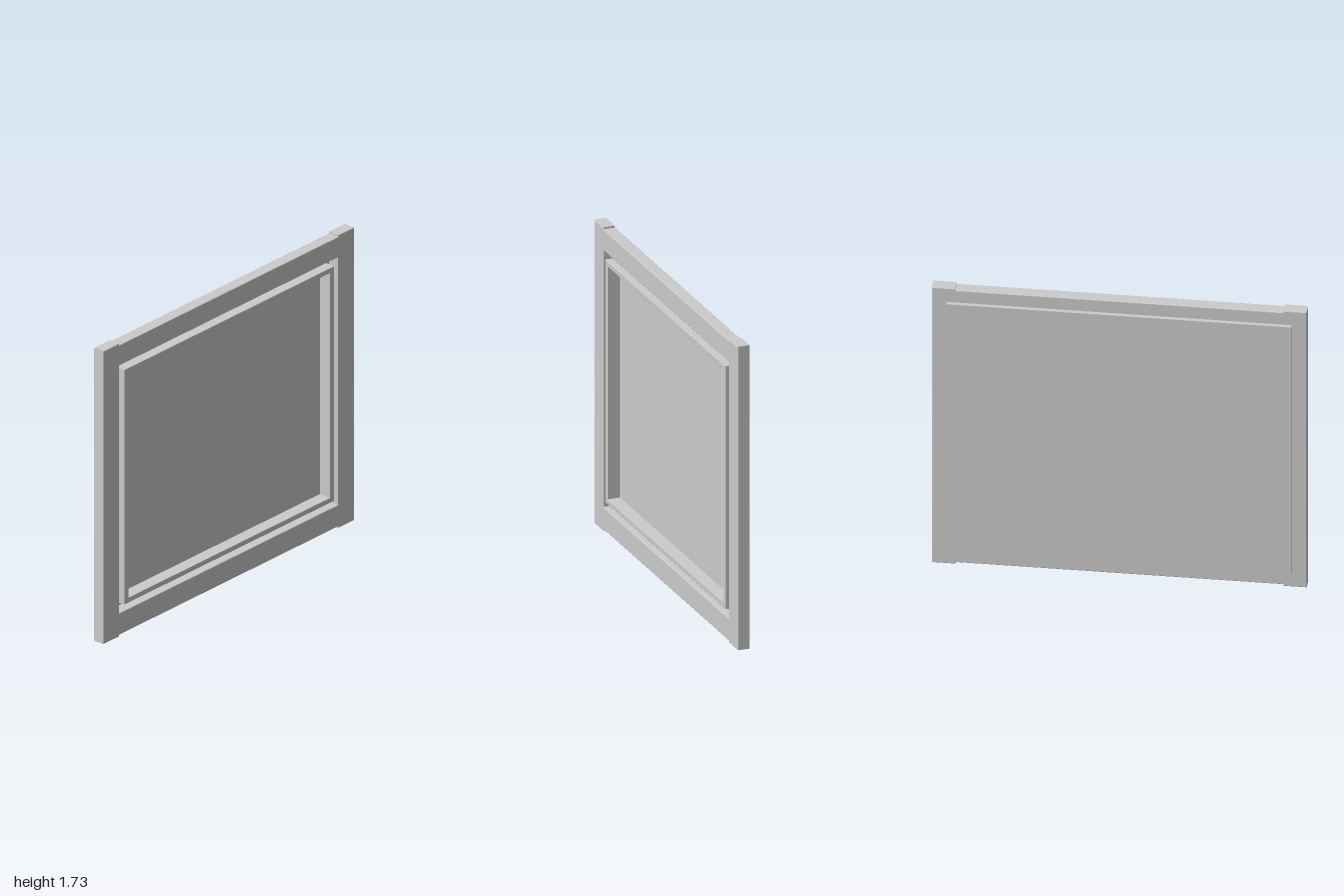
import * as THREE from 'three';

const material = new THREE.MeshStandardMaterial({ color: 0xcccccc, flatShading: true });

const rect = (hw, y0, y1) => [[-hw, y0], [hw, y0], [hw, y1], [-hw, y1]];
const toPoints = (list) => list.map(([x, y]) => new THREE.Vector2(x, y));

// Flat border: an outline with a rectangular opening, eased edges, from z0 to z1
function border(name, outline, opening, z0, z1, bevel) {
  const shape = new THREE.Shape(toPoints(outline));
  shape.holes.push(new THREE.Path(toPoints(opening).reverse()));
  const geometry = new THREE.ExtrudeGeometry(shape, {
    depth: z1 - z0 - 2 * bevel,
    bevelThickness: bevel,
    bevelSize: bevel,
    bevelOffset: -bevel,
    bevelSegments: 2,
  });
  geometry.translate(0, 0, z0 + bevel);
  const mesh = new THREE.Mesh(geometry, material);
  mesh.name = name;
  return mesh;
}

export function createModel() {
  const group = new THREE.Group();
  group.name = 'framedPanel';

  // Outer frame: the side stiles stand slightly proud of the rails at both ends
  const step = 0.875, top = 1.725, railTop = 1.715, railBottom = 0.01;
  const outline = [
    [-1, 0], [-step, 0], [-step, railBottom], [step, railBottom], [step, 0], [1, 0],
    [1, top], [step, top], [step, railTop], [-step, railTop], [-step, top], [-1, top],
  ];
  group.add(border('frame', outline, rect(0.873, 0.137, 1.595), -0.024, 0.045, 0.004));

  // Inner moulding, set in from the frame by a narrow recess
  group.add(border('innerMoulding', rect(0.838, 0.175, 1.557), rect(0.805, 0.205, 1.527), -0.026, 0.048, 0.003));

  // Back panel fixed behind the frame
  const panel = new THREE.Mesh(new THREE.BoxGeometry(1.84, 1.55, 0.024), material);
  panel.name = 'backPanel';
  panel.position.set(0, 0.865, -0.036);
  group.add(panel);

  return group;
}
